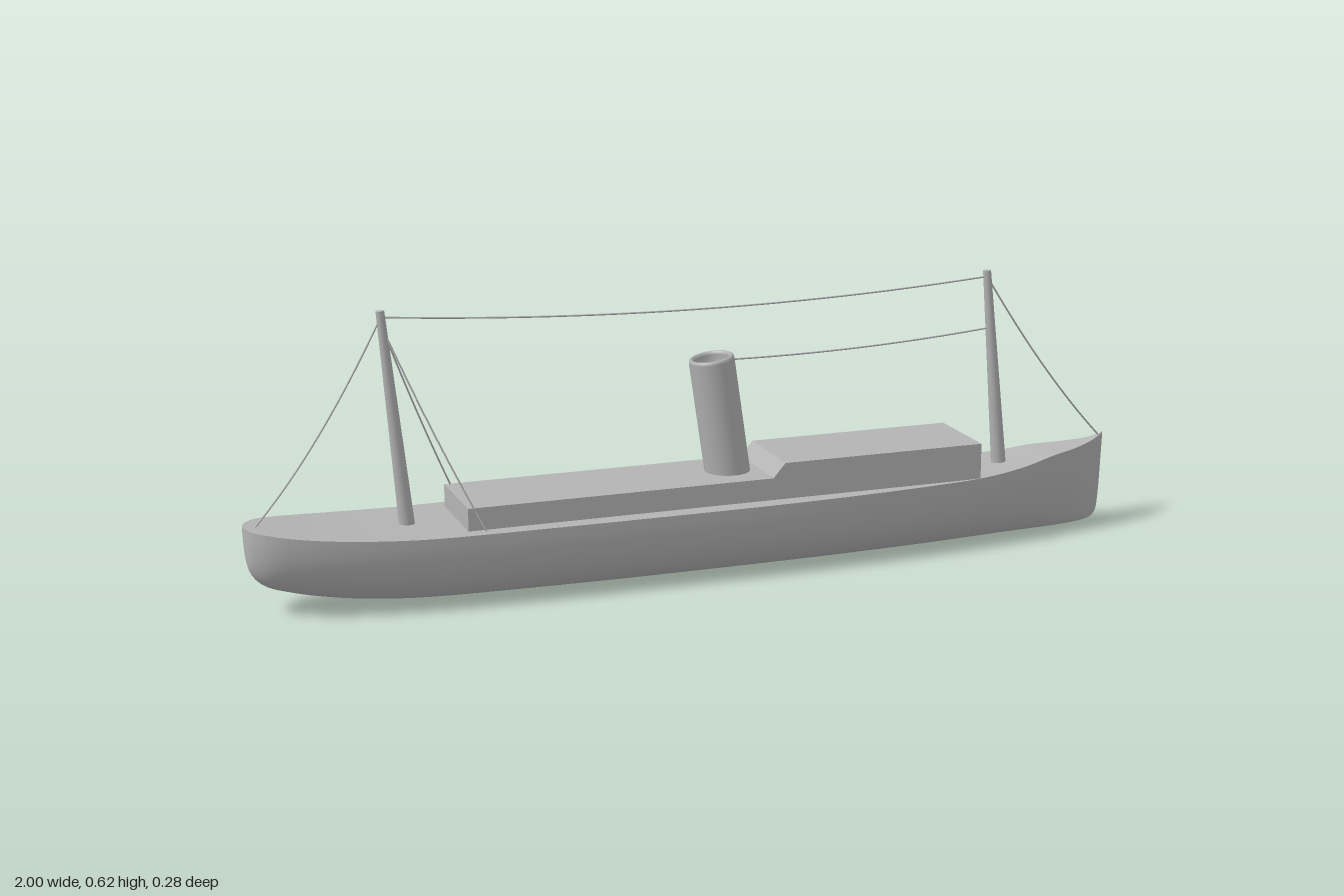
import * as THREE from 'three';

const grey = new THREE.MeshStandardMaterial({ color: 0xb4b4b4 });
grey.name = 'ship grey';

// Hull stations from stern to bow: x, half width, deck height, keel height, fullness
const stations = [
  [-1, 0, 0.19, 0.18, 2.2], [-0.995, 0.022, 0.189, 0.12, 2.2], [-0.985, 0.042, 0.188, 0.085, 2.2],
  [-0.96, 0.066, 0.186, 0.06, 2.2], [-0.92, 0.086, 0.181, 0.045, 2.2], [-0.85, 0.105, 0.174, 0.029, 2.3],
  [-0.75, 0.12, 0.167, 0.014, 2.4], [-0.62, 0.13, 0.162, 0.005, 2.5], [-0.4, 0.137, 0.162, 0.002, 2.6],
  [-0.15, 0.14, 0.162, 0, 2.6], [0.1, 0.14, 0.162, 0, 2.6], [0.3, 0.134, 0.162, 0, 2.6],
  [0.5, 0.119, 0.162, 0, 2.5], [0.65, 0.1, 0.163, 0, 2.3], [0.76, 0.077, 0.171, 0, 2.1],
  [0.84, 0.057, 0.184, 0, 2], [0.91, 0.036, 0.191, 0.002, 1.9], [0.96, 0.017, 0.199, 0.007, 1.8],
  [0.985, 0.007, 0.207, 0.02, 1.8], [0.994, 0.003, 0.211, 0.06, 1.8], [1, 0, 0.215, 0.2, 1.8],
];

function mesh(name, geometry, parent) {
  const m = new THREE.Mesh(geometry, grey);
  m.name = name;
  parent.add(m);
  return m;
}

// Smooth skin through rows of points
function skin(rows, flip) {
  const n = rows[0].length;
  const index = [];
  for (let i = 0; i < rows.length - 1; i++) {
    for (let j = 0; j < n - 1; j++) {
      const a = i * n + j, b = a + 1, c = a + n, d = c + 1;
      if (flip) index.push(a, c, b, b, c, d);
      else index.push(a, b, c, b, d, c);
    }
  }
  const g = new THREE.BufferGeometry();
  g.setAttribute('position', new THREE.Float32BufferAttribute(rows.flat(2), 3));
  g.setIndex(index);
  g.computeVertexNormals();
  return g;
}

function addHull(parent) {
  const spline = pick => new THREE.CatmullRomCurve3(
    stations.map(s => new THREE.Vector3(...pick(s))), false, 'catmullrom', 0.5);
  const plan = spline(s => [s[0], s[1], s[2]]);
  const keel = spline(s => [s[0], s[3], s[4]]);
  const hullRows = [], deckRows = [];
  const steps = (stations.length - 1) * 4, around = 40;
  for (let i = 0; i <= steps; i++) {
    const { x, y: width, z: deckY } = plan.getPoint(i / steps);
    const { y: keelY, z: power } = keel.getPoint(i / steps);
    const w = Math.max(width, 0), low = Math.max(keelY, 0);
    const row = [];
    for (let j = 0; j <= around; j++) {
      const a = Math.PI * j / around;
      const c = Math.cos(a), s = Math.abs(Math.sin(a));
      row.push([x, deckY - (deckY - low) * s ** (2 / power),
        w * Math.sign(c) * Math.abs(c) ** (2 / power)]);
    }
    hullRows.push(row);
    deckRows.push([[x, deckY, w], [x, deckY, -w]]);
  }
  mesh('hull', skin(hullRows, false), parent);
  mesh('deck', skin(deckRows, true), parent);
}

// Tapered round spar between two points
function addSpar(name, from, to, r0, r1, parent) {
  const a = new THREE.Vector3(...from), b = new THREE.Vector3(...to);
  const dir = b.clone().sub(a);
  const m = mesh(name, new THREE.CylinderGeometry(r1, r0, dir.length(), 20), parent);
  m.position.copy(a).lerp(b, 0.5);
  m.quaternion.setFromUnitVectors(new THREE.Vector3(0, 1, 0), dir.normalize());
}

// Thin rope hanging between two points
function addRope(name, from, to, sag, parent) {
  const a = new THREE.Vector3(...from), b = new THREE.Vector3(...to);
  const mid = a.clone().lerp(b, 0.5);
  mid.y -= sag * 2;
  const curve = new THREE.QuadraticBezierCurve3(a, mid, b);
  mesh(name, new THREE.TubeGeometry(curve, 24, 0.002, 6), parent);
}

export function createModel() {
  const ship = new THREE.Group();
  ship.name = 'steamship';
  addHull(ship);

  // Stepped deckhouse, cut from its side profile
  const profile = new THREE.Shape([
    [-0.545, 0.15], [0.64, 0.15], [0.64, 0.243], [0.168, 0.243], [0.14, 0.211], [-0.545, 0.211],
  ].map(p => new THREE.Vector2(...p)));
  const house = new THREE.ExtrudeGeometry(profile, { depth: 0.2, bevelEnabled: false });
  mesh('deckhouse', house.translate(0, 0, -0.1), ship);

  // Hollow funnel raked towards the stern
  const wall = [
    [0.05, 0], [0.05, 0.262], [0.0485, 0.268], [0.045, 0.27],
    [0.041, 0.268], [0.039, 0.262], [0.039, 0.2], [0, 0.2],
  ].map(p => new THREE.Vector2(...p));
  const funnel = mesh('funnel', new THREE.LatheGeometry(wall, 40), ship);
  funnel.position.set(0.071, 0.203, 0);
  funnel.rotation.z = 0.146;

  // Raked masts
  addSpar('foreMast', [0.735, 0.155, 0], [0.691, 0.616, 0], 0.017, 0.009, ship);
  addSpar('aftMast', [-0.652, 0.155, 0], [-0.696, 0.624, 0], 0.017, 0.009, ship);

  // Rigging
  const rigging = new THREE.Group();
  rigging.name = 'rigging';
  ship.add(rigging);
  addRope('aerial', [-0.694, 0.61, 0], [0.692, 0.602, 0], 0.029, rigging);
  addRope('funnelStay', [0.075, 0.46, 0], [0.703, 0.484, 0], 0.009, rigging);
  addRope('foreStay', [0.692, 0.602, 0], [0.99, 0.208, 0], 0.02, rigging);
  addRope('aftStay', [-0.695, 0.61, 0], [-0.975, 0.185, 0], 0.03, rigging);
  for (const side of [1, -1]) {
    addRope('shroud', [-0.693, 0.59, 0], [-0.508, 0.16, side * 0.111], 0.012, rigging);
  }
  return ship;
}
